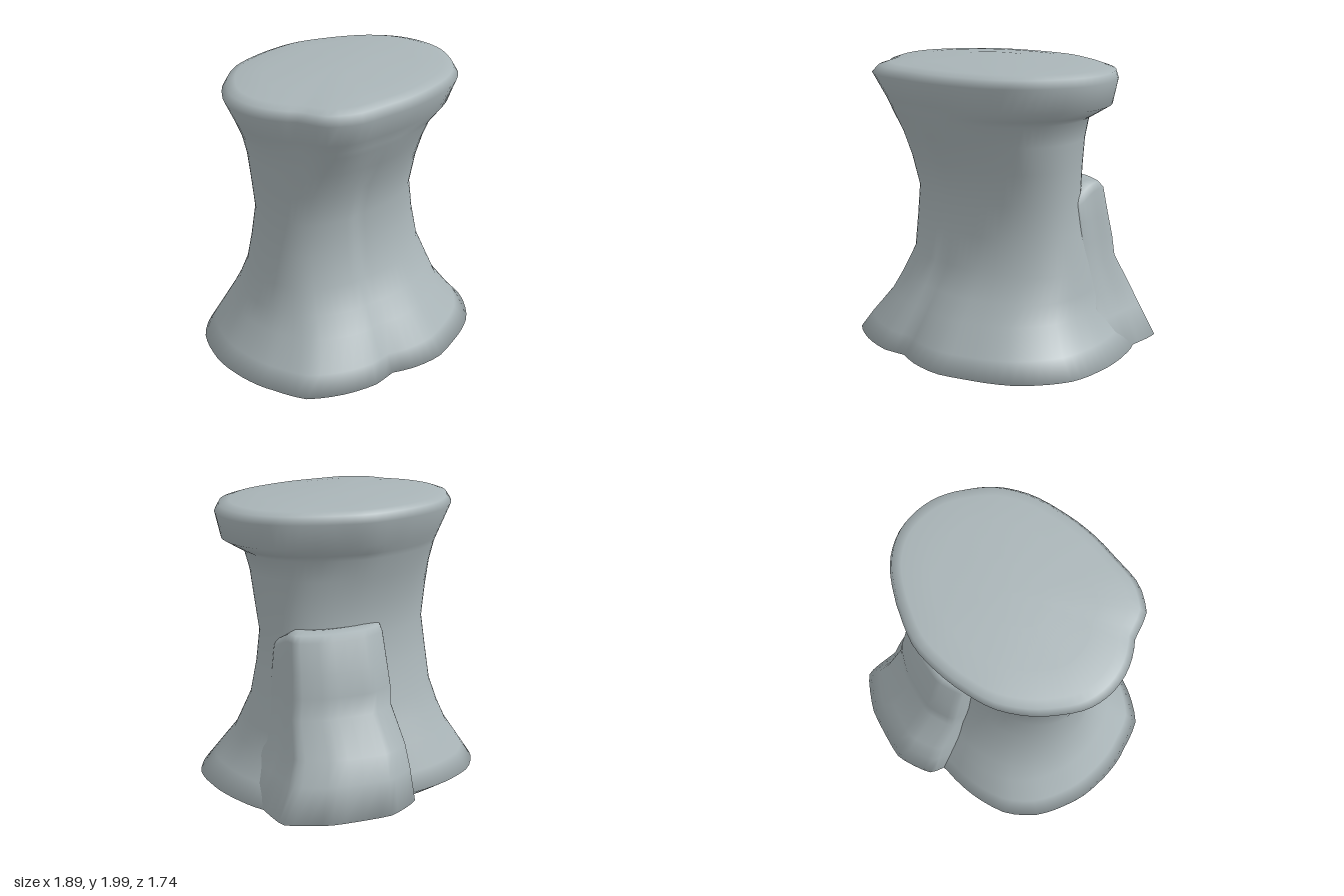
import * as THREE from 'three';

const SEG = 72;

// Closed skin over rings of equal length, capped with a centre point at each end.
function loft(rings) {
  const n = rings[0].length;
  const middle = ring => ring.reduce((s, p) => s.add(p), new THREE.Vector3()).divideScalar(n);
  const points = [...rings.flat(), middle(rings[0]), middle(rings[rings.length - 1])];
  const bottom = points.length - 2, top = points.length - 1, last = (rings.length - 1) * n;
  const index = [];
  for (let j = 0; j < n; j++) {
    const k = (j + 1) % n;
    for (let i = 0; i < rings.length - 1; i++) {
      const a = i * n + j, b = i * n + k;
      index.push(a, a + n, b, b, a + n, b + n);
    }
    index.push(bottom, j, k, top, last + k, last + j);
  }
  const g = new THREE.BufferGeometry().setFromPoints(points);
  g.setIndex(index);
  g.computeVertexNormals();
  return g;
}

// Radius of an outline by angle, relative to its bounding ellipse.
function polarOutline(pts, cx, cz, hx, hz) {
  const polar = pts.map(([x, z]) => {
    const u = (x - cx) / hx, v = (z - cz) / hz;
    return [(Math.atan2(v, u) + Math.PI * 2) % (Math.PI * 2), Math.hypot(u, v)];
  }).sort((a, b) => a[0] - b[0]);
  const first = polar[0], end = polar[polar.length - 1];
  polar.unshift([end[0] - Math.PI * 2, end[1]]);
  polar.push([first[0] + Math.PI * 2, first[1]]);
  return t => {
    const i = polar.findIndex(p => p[0] > t);
    const [a, b] = [polar[i - 1], polar[i]];
    return THREE.MathUtils.lerp(a[1], b[1], (t - a[0]) / (b[0] - a[0]));
  };
}

const baseOutline = polarOutline([
  [-0.94, 0], [-0.94, 0.13], [-0.89, 0.37], [-0.82, 0.57], [-0.6, 0.71], [-0.36, 0.78],
  [-0.23, 0.75], [-0.07, 0.83], [0.14, 0.87], [0.35, 0.82], [0.65, 0.71], [0.9, 0.43],
  [0.94, 0.2], [0.94, 0], [0.92, -0.14], [0.87, -0.33], [0.78, -0.46], [0.6, -0.6],
  [0.3, -0.68], [-0.07, -0.69], [-0.36, -0.69], [-0.62, -0.62], [-0.78, -0.48], [-0.88, -0.28],
], 0, 0.085, 0.94, 0.785);

const topOutline = polarOutline([
  [-0.83, 0.02], [-0.8, -0.12], [-0.7, -0.27], [-0.55, -0.42], [-0.4, -0.51], [-0.2, -0.56],
  [0, -0.58], [0.2, -0.57], [0.4, -0.49], [0.55, -0.41], [0.72, -0.28], [0.82, -0.12],
  [0.85, 0.06], [0.82, 0.24], [0.73, 0.4], [0.6, 0.55], [0.42, 0.65], [0.2, 0.7],
  [0, 0.72], [-0.25, 0.7], [-0.48, 0.67], [-0.63, 0.57], [-0.69, 0.4], [-0.8, 0.22],
], 0.01, 0.07, 0.84, 0.65);

function createBody() {
  // y, x min, x max, z min, z max, lip overhang
  const levels = [
    [0.01, -0.7, 0.72, -0.52, 0.65, 0],
    [0.01, -0.78, 0.8, -0.6, 0.72, 0],
    [0.08, -0.94, 0.94, -0.7, 0.87, 0],
    [0.2, -0.86, 0.84, -0.65, 0.8, 0],
    [0.37, -0.74, 0.73, -0.58, 0.67, 0],
    [0.5, -0.69, 0.7, -0.52, 0.58, 0],
    [0.66, -0.64, 0.66, -0.46, 0.48, 0],
    [0.88, -0.63, 0.62, -0.4, 0.44, 0],
    [1.1, -0.61, 0.59, -0.36, 0.42, 0],
    [1.32, -0.65, 0.61, -0.37, 0.47, 0],
    [1.5, -0.67, 0.62, -0.42, 0.545, 0],
    [1.64, -0.71, 0.65, -0.46, 0.61, 0],
    [1.68, -0.725, 0.67, -0.48, 0.625, 0.05],
    [1.74, -0.75, 0.71, -0.51, 0.65, 0.11],
    [1.9, -0.83, 0.85, -0.58, 0.73, 0],
    [1.95, -0.79, 0.83, -0.56, 0.69, 0],
    [1.97, -0.73, 0.76, -0.51, 0.63, 0],
    [1.985, -0.55, 0.57, -0.36, 0.48, 0],
    [2.0, -0.25, 0.27, -0.12, 0.24, 0],
  ];
  return loft(levels.map(([y, x0, x1, z0, z1, lip]) => {
    const lower = Math.max(0, 1 - y / 0.8);
    const upper = THREE.MathUtils.clamp((y - 1.2) / 0.6, 0, 1);
    const crease = Math.max(0, 1 - ((y - 1) / 0.5) ** 2);
    return Array.from({ length: SEG }, (_, j) => {
      const t = j / SEG * Math.PI * 2, c = Math.cos(t), s = Math.sin(t);
      const round = (Math.abs(c) ** 2.2 + Math.abs(s) ** 2.2) ** (-1 / 2.2);
      const r = baseOutline(t) * lower + topOutline(t) * upper + round * (1 - lower - upper);
      let x = (x0 + x1) / 2 + r * c * (x1 - x0) / 2;
      let z = (z0 + z1) / 2 + r * s * (z1 - z0) / 2;
      // Overhanging lip on the left side
      const bulge = lip * Math.max(0, c) ** 1.2;
      x += bulge * c;
      z += bulge * s * 0.6;
      // Vertical crease down the front
      if (s > 0 && x > -0.2) z -= 0.03 * crease * Math.exp(-(x + 0.2) / 0.12);
      return new THREE.Vector3(x, y, z);
    });
  }));
}

function createButtress() {
  const outline = new THREE.CatmullRomCurve3([
    [-0.07, -0.6], [0, -0.79], [0.26, -0.87], [0.64, -0.76], [0.88, -0.58],
    [0.87, -0.33], [0.84, -0.06], [0.4, -0.05], [0, -0.35],
  ].map(([x, z]) => new THREE.Vector3(x, 0, z)), true, 'catmullrom', 0.25).getPoints(36).slice(0, 36);
  // y, x scale, z scale
  const levels = [
    [0.01, 0.78, 0.73], [0.01, 0.86, 0.8], [0.08, 1, 1], [0.29, 0.88, 0.93], [0.44, 0.81, 0.86],
    [0.66, 0.75, 0.67], [0.8, 0.73, 0.655], [0.95, 0.71, 0.605], [1.14, 0.69, 0.54],
    [1.18, 0.66, 0.5], [1.19, 0.58, 0.42],
  ];
  return loft(levels.map(([y, sx, sz]) => outline.map(p => {
    // The shelf on top dips towards the front
    const dip = y > 1 ? 0.08 * THREE.MathUtils.smoothstep(p.z, -0.5, -0.05) : 0;
    return new THREE.Vector3(p.x * sx, y - dip, p.z * sz);
  })));
}

export function createModel() {
  const group = new THREE.Group();
  group.name = 'rockPillar';
  const stone = new THREE.MeshStandardMaterial({ color: 0xa9b4b7 });
  stone.name = 'greyStone';
  const add = (name, geometry) => {
    const mesh = new THREE.Mesh(geometry, stone);
    mesh.name = name;
    group.add(mesh);
  };
  add('pillarBody', createBody());
  add('backButtress', createButtress());
  return group;
}
